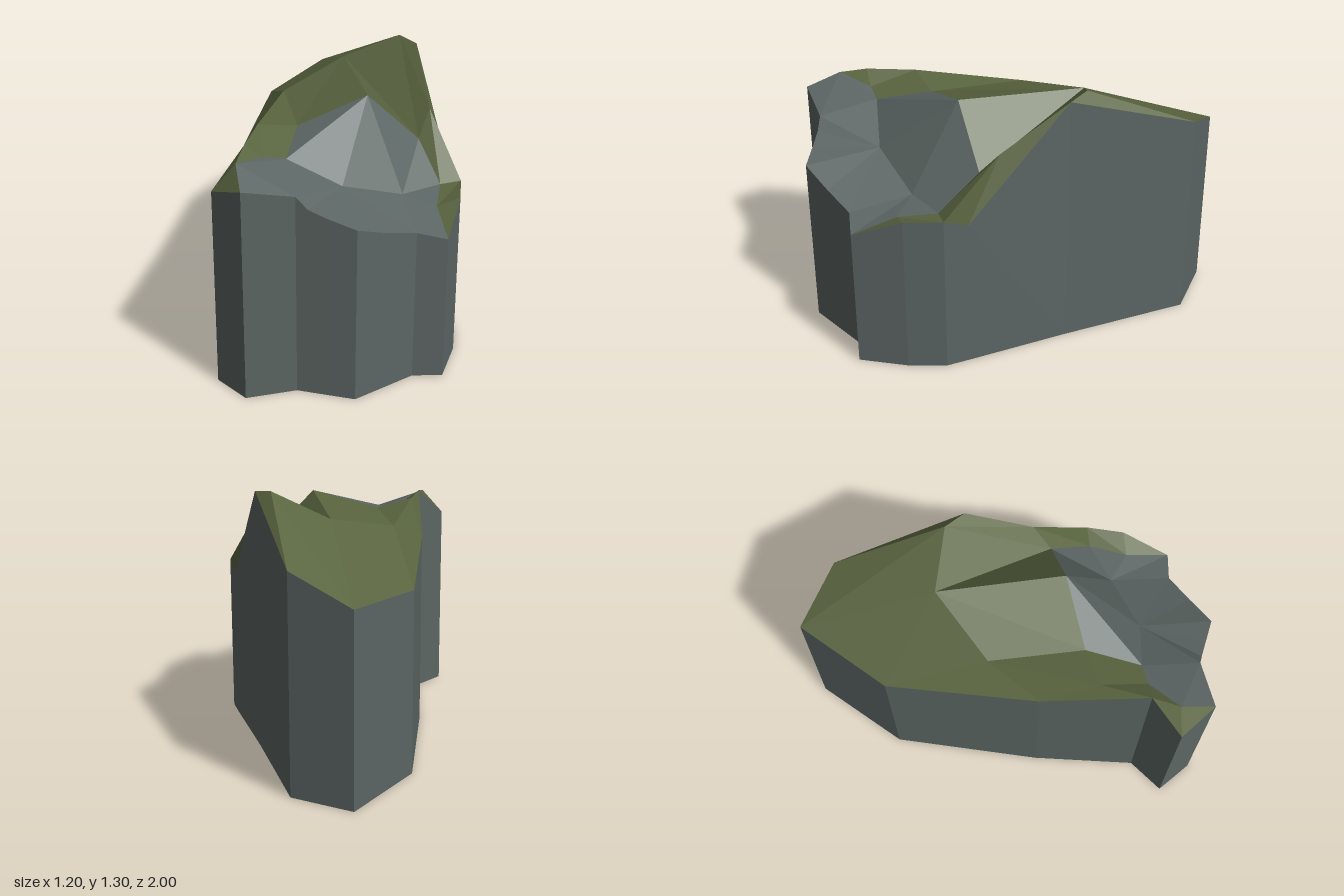
import * as THREE from 'three';

// Cliff rim, running round the outline from the back corner: [x, y, z]
const rim = {
  back: [0.18, 0.93, -1], backL: [-0.16, 0.9, -0.62], sideL: [-0.35, 0.98, 0.1],
  neckL: [-0.44, 1.12, 0.61], tipL: [-0.6, 0.97, 0.74], frontL: [-0.49, 1.035, 0.91],
  f1: [-0.25, 0.985, 0.885], f2: [-0.2, 0.93, 0.908], f3: [-0.12, 0.898, 0.945],
  nose: [0, 0.86, 1], f4: [0.15, 0.798, 0.925], f5: [0.3, 0.748, 0.85],
  frontR: [0.44, 0.715, 0.87], sideR1: [0.55, 0.81, 0.65], sideR2: [0.6, 0.81, 0.47],
  dip: [0.585, 0.765, 0.35], crest: [0.515, 1.29, -0.15], backR: [0.44, 1.06, -0.8],
};

// Points inside the top surface
const inner = {
  saddle: [0.18, 1.18, -0.33], peak: [0.45, 1.305, -0.25], knoll: [0.18, 1.2, 0.29],
  hollow: [0.44, 0.95, 0.26], grassL: [-0.16, 1.09, -0.12], brow: [-0.16, 1.09, 0.34],
  hump: [-0.35, 1.125, 0.38], browL: [-0.25, 1.04, 0.6], ditch: [-0.35, 1.062, 0.61],
  knob: [-0.49, 1.095, 0.74], slope: [0, 0.905, 0.64], shelf: [0.3, 0.8, 0.55],
  ledge: [0.44, 0.775, 0.65], shelfR: [0.5, 0.8, 0.47], shoulder: [0.51, 1.07, 0.18],
};
const points = { ...rim, ...inner };

const grassFaces = [
  'back backL saddle', 'backL grassL saddle', 'back saddle peak', 'back peak backR',
  'peak crest backR', 'backL sideL grassL', 'sideL hump grassL', 'sideL neckL hump',
  'grassL hump brow', 'grassL brow saddle', 'brow knoll saddle', 'saddle knoll hollow',
  'saddle hollow peak', 'peak hollow shoulder', 'peak shoulder crest', 'crest shoulder dip',
  'shoulder sideR2 dip', 'shoulder shelfR sideR2', 'hollow shelfR shoulder',
  'hump ditch browL', 'hump browL brow', 'hump neckL ditch', 'neckL knob ditch',
  'neckL tipL knob', 'tipL frontL knob', 'ledge frontR sideR1', 'ledge sideR1 sideR2',
  'ledge sideR2 shelfR',
];

const rockFaces = [
  'brow browL knoll', 'browL slope knoll', 'knoll slope shelf', 'knoll shelf hollow',
  'hollow shelf shelfR', 'shelf ledge shelfR', 'knob browL ditch', 'knob frontL f1',
  'knob f1 browL', 'browL f1 slope', 'slope f1 f2', 'slope f2 f3', 'slope f3 nose',
  'slope nose f4', 'slope f4 f5', 'slope f5 shelf', 'shelf f5 frontR', 'shelf frontR ledge',
];

// Triangle mesh from a list of corner triples
function facetMesh(name, triangles, color) {
  const geometry = new THREE.BufferGeometry();
  geometry.setAttribute('position', new THREE.Float32BufferAttribute(triangles.flat(2), 3));
  geometry.computeVertexNormals();
  const mesh = new THREE.Mesh(geometry, new THREE.MeshStandardMaterial({ color, flatShading: true }));
  mesh.name = name;
  return mesh;
}

// Look up the corners of a face and turn it to face up (or down)
function facing(corners, up = 1) {
  const [a, b, c] = corners;
  const ny = (b[2] - a[2]) * (c[0] - a[0]) - (b[0] - a[0]) * (c[2] - a[2]);
  return ny * up >= 0 ? [a, b, c] : [a, c, b];
}
const topFaces = (faces) => faces.map((f) => facing(f.split(' ').map((key) => points[key])));

export function createModel() {
  const group = new THREE.Group();
  group.name = 'cliffRock';
  const grass = 0x59643f, rock = 0x5c6664;

  // Upright walls from the rim to the ground
  const ring = Object.values(rim);
  const ground = ring.map(([x, , z]) => [x, 0, z]);
  const walls = [];
  ring.forEach((top, i) => {
    const j = (i + 1) % ring.length;
    walls.push([top, ground[i], ground[j]], [top, ground[j], ring[j]]);
  });

  // Flat underside
  const outline = ring.map(([x, , z]) => new THREE.Vector2(x, z));
  const base = THREE.ShapeUtils.triangulateShape(outline, [])
    .map((tri) => facing(tri.map((i) => ground[i]), -1));

  group.add(
    facetMesh('grassTop', topFaces(grassFaces), grass),
    facetMesh('rockSlope', topFaces(rockFaces), rock),
    facetMesh('cliffWalls', walls, rock),
    facetMesh('underside', base, rock),
  );
  return group;
}
